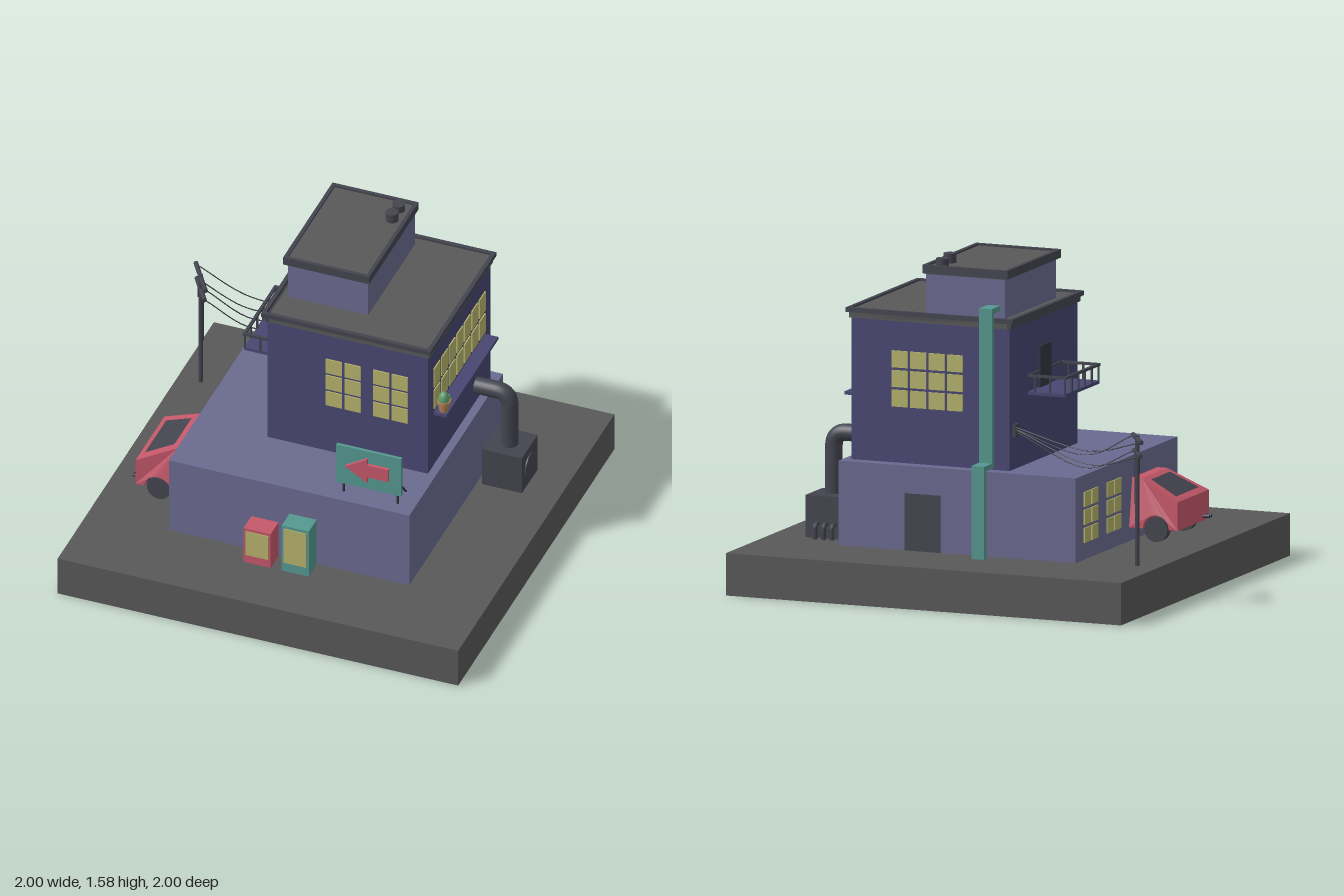
import * as THREE from 'three';

const V = (x, y, z) => new THREE.Vector3(x, y, z);
const mat = (color, opts = {}) => new THREE.MeshStandardMaterial({ color, ...opts });
const M = {
  ground: mat(0x585858), wall: mat(0x6a6a90), tower: mat(0x484672), trim: mat(0x44444f),
  dark: mat(0x33333f), teal: mat(0x559890), red: mat(0xc4586a), yellow: mat(0xb4b26c),
  pot: mat(0xb5835a), green: mat(0x5f9a6c), glass: mat(0x44444f, { side: THREE.DoubleSide }),
};

export function createModel() {
  const root = new THREE.Group();

  const add = (name, geo, m, parent = root) => {
    const mesh = new THREE.Mesh(geo, m);
    mesh.name = name;
    parent.add(mesh);
    return mesh;
  };
  const group = (name) => {
    const g = new THREE.Group();
    g.name = name;
    root.add(g);
    return g;
  };
  // Box given by its limits on each axis
  const box = (name, x0, x1, y0, y1, z0, z1, m, parent) => {
    const b = add(name, new THREE.BoxGeometry(x1 - x0, y1 - y0, z1 - z0), m, parent);
    b.position.set((x0 + x1) / 2, (y0 + y1) / 2, (z0 + z1) / 2);
    return b;
  };
  // Round rod between two points
  const rod = (name, a, b, r, m, parent, sides = 10) => {
    const c = add(name, new THREE.CylinderGeometry(r, r, a.distanceTo(b), sides), m, parent);
    c.position.copy(a).add(b).multiplyScalar(0.5);
    c.quaternion.setFromUnitVectors(V(0, 1, 0), b.clone().sub(a).normalize());
    return c;
  };
  const tube = (name, curve, r, m, parent, segs = 32, sides = 16) =>
    add(name, new THREE.TubeGeometry(curve, segs, r, sides), m, parent);
  // Rectangular roof rim with an open centre
  const rim = (name, x0, x1, z0, z1, y0, y1, t, parent) => {
    const rect = (P, d) => new P([[x0 + d, -z0 - d], [x0 + d, -z1 + d], [x1 - d, -z1 + d], [x1 - d, -z0 - d]]
      .map(([a, b]) => new THREE.Vector2(a, b)));
    const s = rect(THREE.Shape, 0);
    s.holes.push(rect(THREE.Path, t));
    const g = new THREE.ExtrudeGeometry(s, { depth: y1 - y0, bevelEnabled: false });
    g.rotateX(-Math.PI / 2).translate(0, y0, 0);
    return add(name, g, M.trim, parent);
  };
  // Grid of panes on a wall; the group faces +z before turning
  const paneGrid = (name, cols, rows, w, h, px, py, x, y, z, turn = 0) => {
    const g = group(name);
    for (let i = 0; i < cols; i++) for (let j = 0; j < rows; j++) {
      const p = add('windowPane', new THREE.BoxGeometry(w, h, 0.012), M.yellow, g);
      p.position.set((i - (cols - 1) / 2) * px, (j - (rows - 1) / 2) * py, 0);
    }
    g.position.set(x, y, z);
    g.rotation.y = turn;
  };

  // Ground and building blocks
  box('groundSlab', -1, 1, 0, 0.2, -1, 1, M.ground);
  box('groundFloor', -0.6, 0.6, 0.2, 0.6, -0.6, 0.6, M.wall);
  box('upperFloor', -0.24, 0.56, 0.6, 1.28, -0.54, 0.26, M.tower);
  box('upperRoof', -0.23, 0.57, 1.27, 1.31, -0.55, 0.27, M.ground);
  rim('lowerCornice', -0.25, 0.57, -0.55, 0.27, 1.27, 1.3, 0.03);
  rim('upperCornice', -0.265, 0.58, -0.565, 0.28, 1.298, 1.32, 0.02);
  box('roofHouse', -0.2, 0.2, 1.3, 1.5, -0.5, 0.1, M.wall);
  box('roofHouseTop', -0.21, 0.2, 1.495, 1.53, -0.51, 0.1, M.ground);
  rim('roofHouseCornice', -0.22, 0.21, -0.52, 0.115, 1.5, 1.54, 0.018);
  rod('roofVent', V(0.14, 1.52, -0.36), V(0.14, 1.575, -0.36), 0.03, M.trim, root, 20);
  rod('roofVent', V(0.14, 1.52, -0.445), V(0.14, 1.565, -0.445), 0.03, M.trim, root, 20);

  // Windows
  for (const x of [0.139, 0.374]) paneGrid('frontWindow', 2, 3, 0.08, 0.08, 0.093, 0.0925, x, 0.997, 0.26);
  paneGrid('sideWindow', 7, 2, 0.077, 0.108, 0.0965, 0.125, 0.56, 1.04, -0.14, Math.PI / 2);
  paneGrid('backWindow', 4, 3, 0.08, 0.08, 0.093, 0.0925, 0.175, 0.997, -0.54, Math.PI);
  for (const z of [-0.425, -0.155]) paneGrid('lowerWindow', 2, 3, 0.075, 0.07, 0.09, 0.085, -0.6, 0.4, z, -Math.PI / 2);
  box('backDoor', 0.085, 0.265, 0.2, 0.47, -0.604, -0.59, M.trim);

  // Window sill with potted cacti
  box('windowSill', 0.55, 0.625, 0.89, 0.905, -0.475, 0.19, M.tower);
  for (const [z, s] of [[0.157, 1], [0.098, 0.5]]) {
    const g = group('pottedCactus');
    add('pot', new THREE.CylinderGeometry(0.029, 0.021, 0.055, 16), M.pot, g).position.y = 0.0275;
    add('potRim', new THREE.CylinderGeometry(0.031, 0.031, 0.014, 16), M.pot, g).position.y = 0.051;
    const c = add('cactus', new THREE.SphereGeometry(0.026, 16, 12), M.green, g);
    c.scale.y = 1.6;
    c.position.y = 0.065;
    g.position.set(0.6, 0.905, z);
    g.scale.setScalar(s);
  }

  // Balcony and its door
  const balcony = group('balcony');
  box('balconyFloor', -0.43, -0.24, 0.925, 0.94, -0.325, 0.075, M.tower, balcony);
  rim('balconyTopRail', -0.435, -0.235, -0.33, 0.08, 1.01, 1.022, 0.014, balcony);
  const posts = [];
  for (const x of [-0.427, -0.35, -0.275]) posts.push([x, -0.322], [x, 0.072]);
  for (let i = 1; i < 5; i++) posts.push([-0.427, -0.322 + i * 0.0788]);
  for (const [x, z] of posts) box('balconyPost', x - 0.004, x + 0.004, 0.935, 1.012, z - 0.004, z + 0.004, M.trim, balcony);
  box('balconyDoor', -0.25, -0.235, 0.94, 1.135, -0.2, -0.07, M.dark, balcony);

  // Roof sign with arrow, posts and braces
  const sign = group('sign');
  box('signBoard', 0.21, 0.535, 0.65, 0.865, 0.522, 0.537, M.teal, sign);
  const arrow = new THREE.Shape([[0.26, 0.762], [0.37, 0.83], [0.37, 0.797], [0.475, 0.797], [0.475, 0.728], [0.37, 0.728], [0.37, 0.695]]
    .reverse().map(([x, y]) => new THREE.Vector2(x, y)));
  add('signArrow', new THREE.ExtrudeGeometry(arrow, { depth: 0.018, bevelEnabled: false }), M.red, sign).position.z = 0.535;
  for (const x of [0.245, 0.515]) {
    rod('signPost', V(x, 0.6, 0.53), V(x, 0.66, 0.53), 0.005, M.dark, sign);
    rod('signBrace', V(x, 0.6, 0.425), V(x, 0.72, 0.528), 0.005, M.dark, sign);
  }

  // Vending machines
  for (const [x0, x1, top, m, p0, p1] of [[-0.185, -0.05, 0.395, M.red, 0.245, 0.38], [0.005, 0.14, 0.46, M.teal, 0.25, 0.445]]) {
    const g = group('vendingMachine');
    box('cabinet', x0, x1, 0.2, top, 0.608, 0.708, m, g);
    box('displayPanel', x0 + 0.011, x1 - 0.011, p0, p1, 0.7, 0.712, M.yellow, g);
  }

  // Boiler with flue and small outlet pipes
  const boiler = group('boiler');
  box('boilerBody', 0.625, 0.825, 0.2, 0.4, -0.465, -0.265, M.trim, boiler);
  rod('boilerHatch', V(0.82, 0.3, -0.36), V(0.831, 0.3, -0.36), 0.06, M.trim, boiler, 28);
  const flue = new THREE.CurvePath();
  flue.add(new THREE.LineCurve3(V(0.55, 0.69, -0.36), V(0.66, 0.69, -0.36)));
  flue.add(new THREE.QuadraticBezierCurve3(V(0.66, 0.69, -0.36), V(0.727, 0.69, -0.36), V(0.727, 0.62, -0.36)));
  flue.add(new THREE.LineCurve3(V(0.727, 0.62, -0.36), V(0.727, 0.39, -0.36)));
  tube('flue', flue, 0.041, M.trim, boiler, 40, 20);
  for (const x of [0.68, 0.722, 0.765]) {
    tube('outletPipe', new THREE.CatmullRomCurve3([V(x, 0.268, -0.455), V(x, 0.268, -0.48), V(x, 0.258, -0.492), V(x, 0.24, -0.494), V(x, 0.2, -0.494)]),
      0.011, M.trim, boiler, 16, 10);
  }

  // Square drain duct down the back
  const duct = group('drainDuct');
  for (const [y0, y1, z0, z1] of [[1.345, 1.37, -0.6, -0.49], [0.615, 1.37, -0.6, -0.575], [0.615, 0.64, -0.69, -0.575], [0.2, 0.64, -0.69, -0.665]])
    box('ductSection', -0.175, -0.11, y0, y1, z0, z1, M.teal, duct);

  // Utility pole, slanted crossbars and wires
  const pole = group('utilityPole');
  const at = (t, y) => V(-0.888 + 0.062 * t, y, -0.545 + 0.096 * t);
  rod('pole', at(0, 0.2), at(0, 0.815), 0.011, M.trim, pole);
  rod('upperCrossbar', at(-1, 0.8), at(1, 0.8), 0.011, M.trim, pole);
  rod('lowerCrossbar', at(-0.8, 0.73), at(0.8, 0.73), 0.011, M.trim, pole);
  box('wallBracket', -0.255, -0.235, 0.755, 0.815, -0.505, -0.46, M.trim, pole);
  for (const [t, y, sag, end] of [[-0.9, 0.8, 0.72, 0.8], [0.9, 0.8, 0.68, 0.785], [-0.75, 0.73, 0.655, 0.79], [0.75, 0.73, 0.62, 0.775]]) {
    const a = at(t, y), b = V(-0.245, end, -0.485 + 0.01 * t);
    const mid = a.clone().lerp(b, 0.4).setY(sag + 0.01);
    tube('wire', new THREE.CatmullRomCurve3([a, mid, b]), 0.0028, M.dark, pole, 16, 5);
  }
  rod('hangingWire', at(-0.5, 0.73), at(-0.5, 0.645), 0.003, M.dark, pole, 6);
  rod('hangingWire', at(0.55, 0.73), at(0.55, 0.48), 0.003, M.dark, pole, 6);

  // Car standing against the wall, cabin narrowing toward its roof
  const car = group('car');
  const side = new THREE.Shape();
  side.moveTo(-0.845, 0.265);
  side.lineTo(-0.8, 0.265);
  side.absarc(-0.735, 0.265, 0.065, Math.PI, 0, true);
  side.lineTo(-0.59, 0.265);
  side.lineTo(-0.59, 0.495);
  side.lineTo(-0.65, 0.495);
  side.lineTo(-0.845, 0.4);
  const body = new THREE.ExtrudeGeometry(side, { depth: 0.37, bevelEnabled: false });
  const pos = body.attributes.position;
  for (let i = 0; i < pos.count; i++) {
    const squeeze = 1 - 0.2 * Math.max(0, (pos.getY(i) - 0.4) / 0.095);
    pos.setZ(i, 0.215 + (pos.getZ(i) - 0.185) * squeeze);
  }
  body.computeVertexNormals();
  add('carBody', body, mat(0xc4586a, { side: THREE.DoubleSide }), car);
  const pane = new THREE.BufferGeometry();
  const slope = (x, z) => [x - 0.002, 0.4 + (x + 0.845) * 0.487 + 0.004, z];
  pane.setAttribute('position', new THREE.Float32BufferAttribute(
    [slope(-0.815, 0.08), slope(-0.815, 0.35), slope(-0.678, 0.325), slope(-0.678, 0.105)].flat(), 3));
  pane.setIndex([0, 1, 2, 0, 2, 3]);
  pane.computeVertexNormals();
  add('carWindow', pane, M.glass, car);
  box('carUnderside', -0.82, -0.6, 0.255, 0.3, 0.075, 0.355, M.dark, car);
  for (const z of [0.035, 0.355]) {
    rod('carWheel', V(-0.733, 0.262, z), V(-0.733, 0.262, z + 0.04), 0.058, M.trim, car, 24);
    rod('wheelHub', V(-0.733, 0.262, z - 0.003), V(-0.733, 0.262, z + 0.043), 0.036, M.trim, car, 20);
  }
  for (const z of [0.337, 0.363]) rod('exhaust', V(-0.875, 0.285, z), V(-0.8, 0.285, z), 0.008, M.dark, car);

  return root;
}
